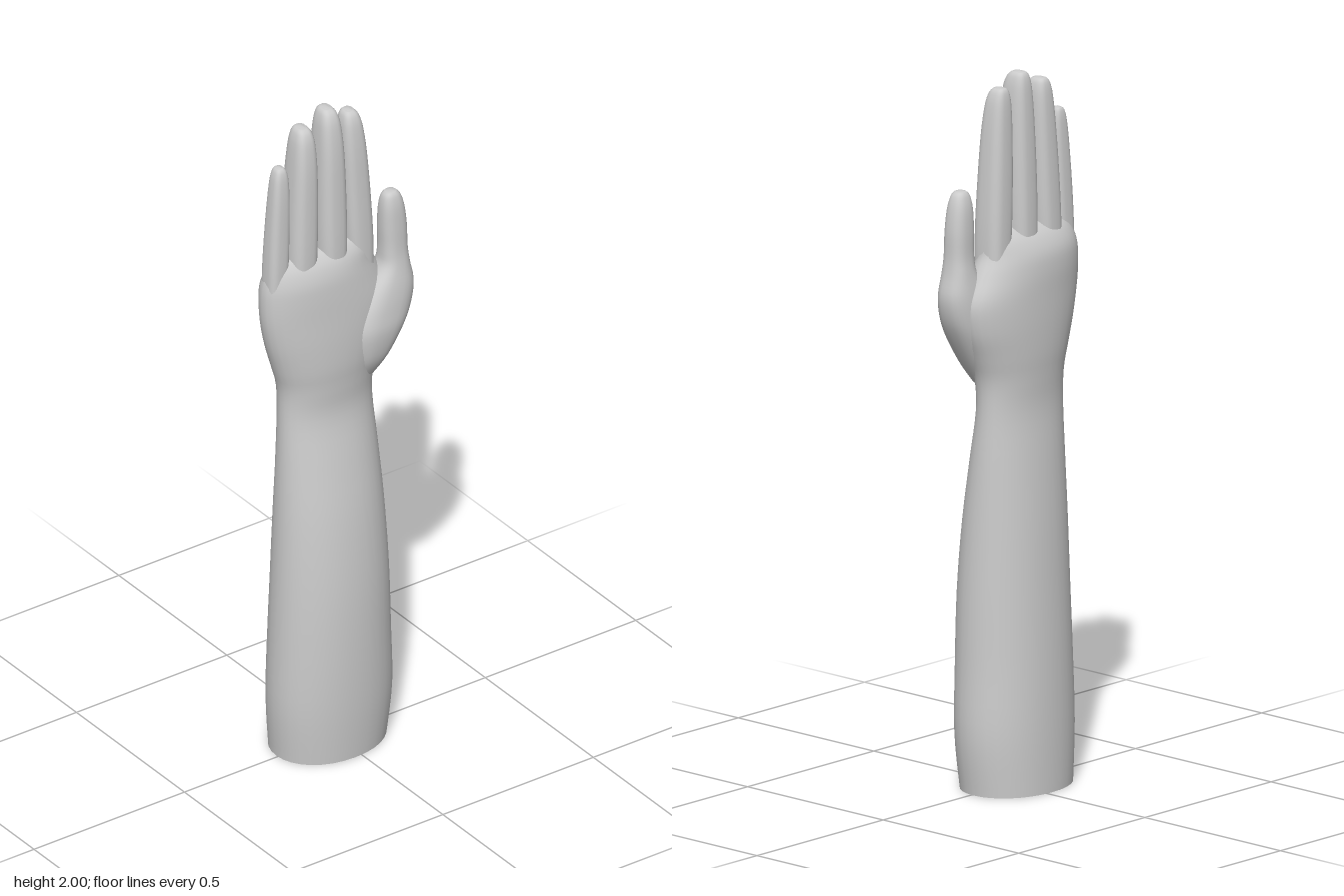
import * as THREE from 'three';

const material = new THREE.MeshStandardMaterial({ color: 0xcccccc });
const SIDES = 32;

// Smooth value between b and c, with a and d as neighbours
function spline(a, b, c, d, t) {
  const m0 = (c - a) / 2, m1 = (d - b) / 2;
  return b + m0 * t + (3 * (c - b) - 2 * m0 - m1) * t * t + (2 * (b - c) + m0 + m1) * t * t * t;
}

// Adds in-between sections along the loft
function refine(rows, steps) {
  const out = [];
  const last = rows.length - 1;
  for (let i = 0; i < last; i++) {
    const a = rows[Math.max(i - 1, 0)], d = rows[Math.min(i + 2, last)];
    for (let s = 0; s < steps; s++) {
      out.push(rows[i].map((v, k) => spline(a[k], v, rows[i + 1][k], d[k], s / steps)));
    }
  }
  out.push(rows[last]);
  return out;
}

// Rounded loft through sections [y, zMin, zMax, xMin, xMax]; power sets how square it is
function loft(name, sections, power, flatBase = false) {
  const rows = refine(sections, 4);
  const pos = [], index = [];
  const round = (v) => Math.sign(v) * Math.pow(Math.abs(v), 2 / power);
  const ring = ([y, z0, z1, x0, x1]) => {
    for (let j = 0; j < SIDES; j++) {
      const a = (j / SIDES) * Math.PI * 2;
      pos.push((x0 + x1) / 2 + (x1 - x0) / 2 * round(Math.cos(a)), y,
        (z0 + z1) / 2 + (z1 - z0) / 2 * round(Math.sin(a)));
    }
  };
  rows.forEach(ring);
  for (let i = 0; i < rows.length - 1; i++) {
    for (let j = 0; j < SIDES; j++) {
      const a = i * SIDES + j, b = i * SIDES + (j + 1) % SIDES;
      index.push(a, a + SIDES, b, b, a + SIDES, b + SIDES);
    }
  }
  // Closed tip
  const end = rows[rows.length - 1], top = (rows.length - 1) * SIDES;
  const tip = pos.length / 3;
  pos.push((end[3] + end[4]) / 2, end[0] + 0.003, (end[1] + end[2]) / 2);
  for (let j = 0; j < SIDES; j++) index.push(top + j, tip, top + (j + 1) % SIDES);
  // Flat cut at the bottom, with its own ring for a sharp edge
  if (flatBase) {
    const start = pos.length / 3;
    ring(rows[0]);
    const [y, z0, z1, x0, x1] = rows[0];
    pos.push((x0 + x1) / 2, y, (z0 + z1) / 2);
    for (let j = 0; j < SIDES; j++) index.push(start + j, start + (j + 1) % SIDES, start + SIDES);
  }
  const geometry = new THREE.BufferGeometry();
  geometry.setAttribute('position', new THREE.Float32BufferAttribute(pos, 3));
  geometry.setIndex(index);
  geometry.computeVertexNormals();
  const mesh = new THREE.Mesh(geometry, material);
  mesh.name = name;
  return mesh;
}

// Finger from inside the palm to its tip: slight taper, back straight, pad side rounded over
function finger({ name, tipY, baseZ, tipZ, halfZ, back, pad }) {
  const baseY = 1.43;
  const profile = [ // height, width scale, back scale, pad scale
    [0, 0.9, 1, 0.95], [0.25, 1.02, 1, 1], [0.5, 1, 0.95, 0.93], [0.75, 0.9, 0.86, 0.8],
    [0.9, 0.76, 0.78, 0.58], [0.965, 0.58, 0.7, 0.33], [0.99, 0.38, 0.6, 0.05], [0.995, 0.2, 0.5, -0.15],
  ];
  return loft(name, profile.map(([t, w, b, p]) => {
    const z = baseZ + (tipZ - baseZ) * t;
    return [baseY + (tipY - baseY) * t, z - halfZ * w, z + halfZ * w, back * b, pad * p];
  }), 2.9);
}

export function createModel() {
  const group = new THREE.Group();
  group.name = 'armAndHand';

  // Forearm, wrist and palm in one skin
  group.add(loft('forearmAndPalm', [
    [0, -0.15, 0.19, -0.14, 0.125],
    [0.16, -0.165, 0.203, -0.139, 0.136],
    [0.35, -0.157, 0.2, -0.134, 0.14],
    [0.55, -0.15, 0.193, -0.127, 0.136],
    [0.75, -0.14, 0.184, -0.119, 0.119],
    [0.92, -0.13, 0.175, -0.108, 0.092],
    [1.06, -0.122, 0.17, -0.097, 0.067],
    [1.15, -0.126, 0.172, -0.1, 0.07],
    [1.22, -0.148, 0.19, -0.105, 0.076],
    [1.3, -0.178, 0.213, -0.107, 0.077],
    [1.38, -0.185, 0.228, -0.106, 0.074],
    [1.45, -0.15, 0.231, -0.104, 0.07],
    [1.5, -0.123, 0.226, -0.096, 0.064],
    [1.54, -0.115, 0.212, -0.074, 0.05],
    [1.565, -0.1, 0.19, -0.045, 0.03],
    [1.573, -0.08, 0.16, -0.025, 0.015],
  ], 2.1, true));

  // Thumb with the fleshy mound at its root
  group.add(loft('thumb', [
    [1.14, -0.105, -0.06, 0.01, 0.045],
    [1.2, -0.145, -0.035, -0.02, 0.076],
    [1.28, -0.193, -0.02, -0.035, 0.091],
    [1.34, -0.22, -0.035, -0.035, 0.088],
    [1.4, -0.23, -0.075, -0.03, 0.08],
    [1.46, -0.219, -0.125, -0.02, 0.068],
    [1.51, -0.213, -0.134, -0.013, 0.062],
    [1.58, -0.211, -0.133, -0.011, 0.06],
    [1.64, -0.203, -0.134, -0.006, 0.057],
    [1.675, -0.192, -0.14, 0.003, 0.05],
    [1.688, -0.18, -0.15, 0.012, 0.042],
  ], 2.5));

  // Four fingers
  [
    { name: 'indexFinger', tipY: 1.967, baseZ: -0.083, tipZ: -0.056, halfZ: 0.041, back: -0.06, pad: 0.036 },
    { name: 'middleFinger', tipY: 2, baseZ: 0.017, tipZ: 0.017, halfZ: 0.042, back: -0.069, pad: 0.046 },
    { name: 'ringFinger', tipY: 1.967, baseZ: 0.118, tipZ: 0.099, halfZ: 0.041, back: -0.067, pad: 0.042 },
    { name: 'littleFinger', tipY: 1.867, baseZ: 0.195, tipZ: 0.176, halfZ: 0.031, back: -0.045, pad: 0.022 },
  ].forEach((spec) => group.add(finger(spec)));

  return group;
}
